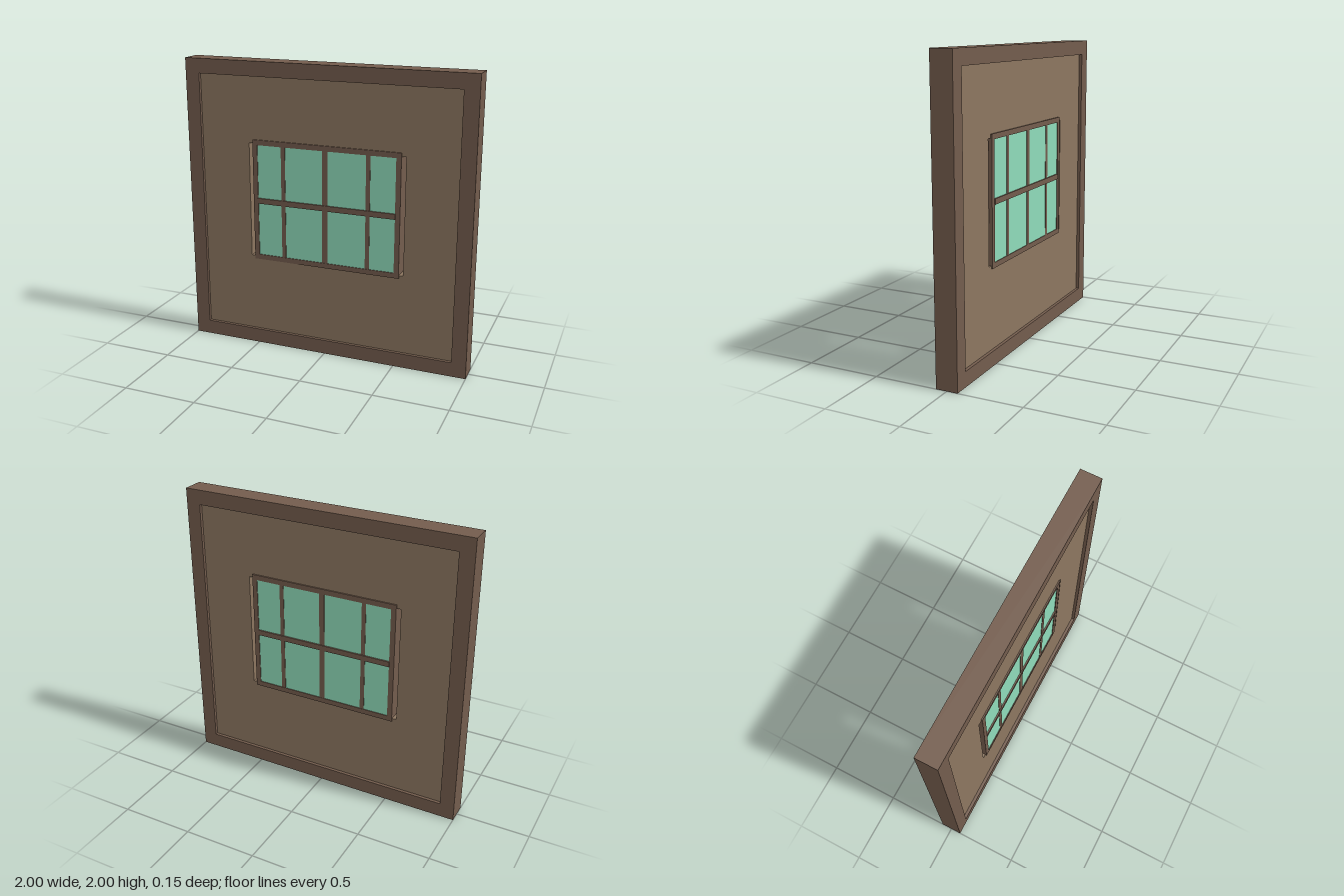
import * as THREE from 'three';

const frameMat = new THREE.MeshStandardMaterial({ color: 0x735c4d });
const panelMat = new THREE.MeshStandardMaterial({ color: 0x8c7660 });
const glassMat = new THREE.MeshStandardMaterial({ color: 0x8fdbba });

// Rectangular ring extruded symmetrically about z = 0
function ring(name, mat, [w, h, cy], [iw, ih, icy], depth) {
  const corners = (w, h, cy) => [[-1, -1], [1, -1], [1, 1], [-1, 1]]
    .map(([sx, sy]) => new THREE.Vector2(sx * w / 2, cy + sy * h / 2));
  const shape = new THREE.Shape(corners(w, h, cy));
  shape.holes.push(new THREE.Path(corners(iw, ih, icy).reverse()));
  const geo = new THREE.ExtrudeGeometry(shape, { depth, bevelEnabled: false });
  geo.translate(0, 0, -depth / 2);
  const mesh = new THREE.Mesh(geo, mat);
  mesh.name = name;
  return mesh;
}

function box(name, mat, w, h, d, x, y) {
  const mesh = new THREE.Mesh(new THREE.BoxGeometry(w, h, d), mat);
  mesh.position.set(x, y, 0);
  mesh.name = name;
  return mesh;
}

export function createModel() {
  const model = new THREE.Group();
  model.name = 'wallWithWindow';

  // Outer border and the recessed wall panel with its window opening
  model.add(ring('outerFrame', frameMat, [2, 2, 1], [1.8, 1.8, 1], 0.147));
  model.add(ring('wallPanel', panelMat, [1.8, 1.8, 1], [1.1, 0.8, 1.05], 0.104));

  // Window: narrower than its opening, overlapping the panel above and below
  const win = new THREE.Group();
  win.name = 'window';
  win.add(ring('windowFrame', frameMat, [1.042, 0.845, 1.053], [0.974, 0.775, 1.053], 0.122));
  win.add(box('glass', glassMat, 0.974, 0.775, 0.112, 0, 1.053));

  // Glazing bars
  for (const [x, w] of [[-0.3, 0.029], [0, 0.037], [0.3, 0.029]]) {
    win.add(box('verticalBar', frameMat, w, 0.775, 0.118, x, 1.053));
  }
  win.add(box('horizontalBar', frameMat, 0.98, 0.037, 0.132, 0, 1.053));
  model.add(win);

  return model;
}
